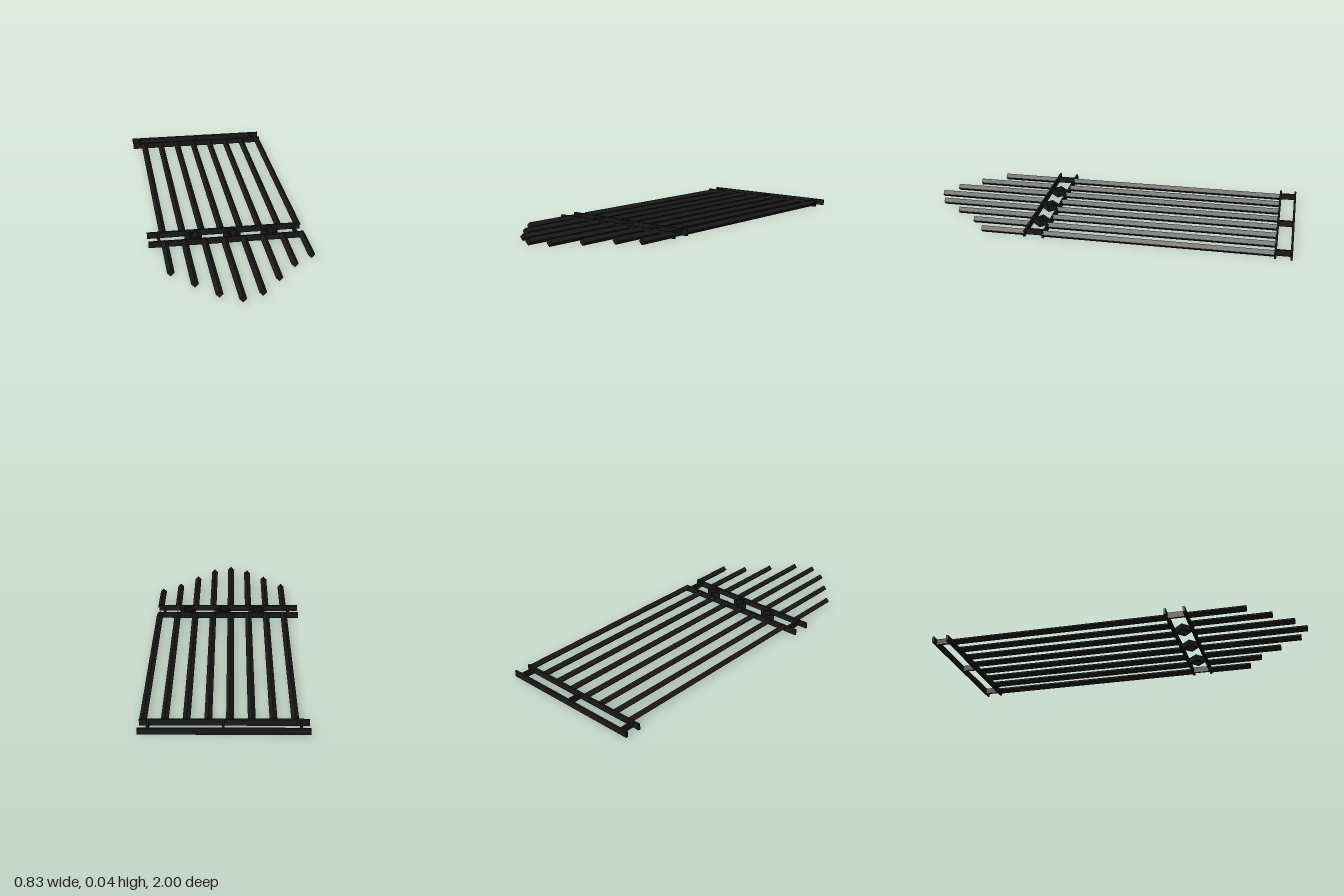
import * as THREE from 'three';

export function createModel() {
  const model = new THREE.Group();
  const mat = new THREE.MeshStandardMaterial({ color: 0x1a1a1a, flatShading: true });
  const H = 0.033, T = 0.011; // plate height and thickness

  function add(name, geometry, x, y, z) {
    const mesh = new THREE.Mesh(geometry, mat);
    mesh.name = name;
    mesh.position.set(x, y, z);
    model.add(mesh);
    return mesh;
  }

  // Flat plate standing on the ground, given by its x and z limits
  function plate(name, x0, x1, z0, z1) {
    add(name, new THREE.BoxGeometry(x1 - x0, H, z1 - z0), (x0 + x1) / 2, H / 2, (z0 + z1) / 2);
  }

  // Square bar set on edge, running along z
  function bar(name, x, z0, z1) {
    const g = new THREE.CylinderGeometry(0.0185, 0.0185, z1 - z0, 4).rotateX(Math.PI / 2);
    add(name, g, x, 0.022, (z0 + z1) / 2);
  }

  // Long bars, interrupted by the middle frame, with stepped front ends
  const tips = [0.715, 0.836, 0.943, 1.0, 0.957, 0.836, 0.715, 0.638];
  tips.forEach((tip, i) => {
    const x = -0.331 + i * 0.1035;
    bar('longBar', x, -0.91, 0.303);
    bar('barTip', x, 0.403, tip);
  });

  // Rails in pairs: back frame and middle frame
  plate('backRail', -0.4, 0.415, -1, -1 + T);
  plate('backRail', -0.4, 0.412, -0.918, -0.918 + T);
  plate('middleRail', -0.415, 0.405, 0.297, 0.297 + T);
  plate('middleRail', -0.415, 0.405, 0.398, 0.398 + T);

  // Short cross struts between the rails
  for (const x of [-0.357, 0.012, 0.368]) plate('backStrut', x - T / 2, x + T / 2, -0.99, -0.917);
  for (const x of [-0.357, 0.368]) plate('middleStrut', x - T / 2, x + T / 2, 0.307, 0.399);

  // Diamond rings in the middle frame
  const diamond = (path, r) => path.moveTo(r, 0).lineTo(0, r).lineTo(-r, 0).lineTo(0, -r).closePath();
  const shape = new THREE.Shape();
  diamond(shape, 0.046);
  const hole = new THREE.Path();
  diamond(hole, 0.03);
  shape.holes.push(hole);
  const ring = new THREE.ExtrudeGeometry(shape, { depth: H, bevelEnabled: false }).rotateX(-Math.PI / 2);
  for (const x of [-0.176, 0.029, 0.23]) add('diamondRing', ring, x, 0, 0.353);

  return model;
}
